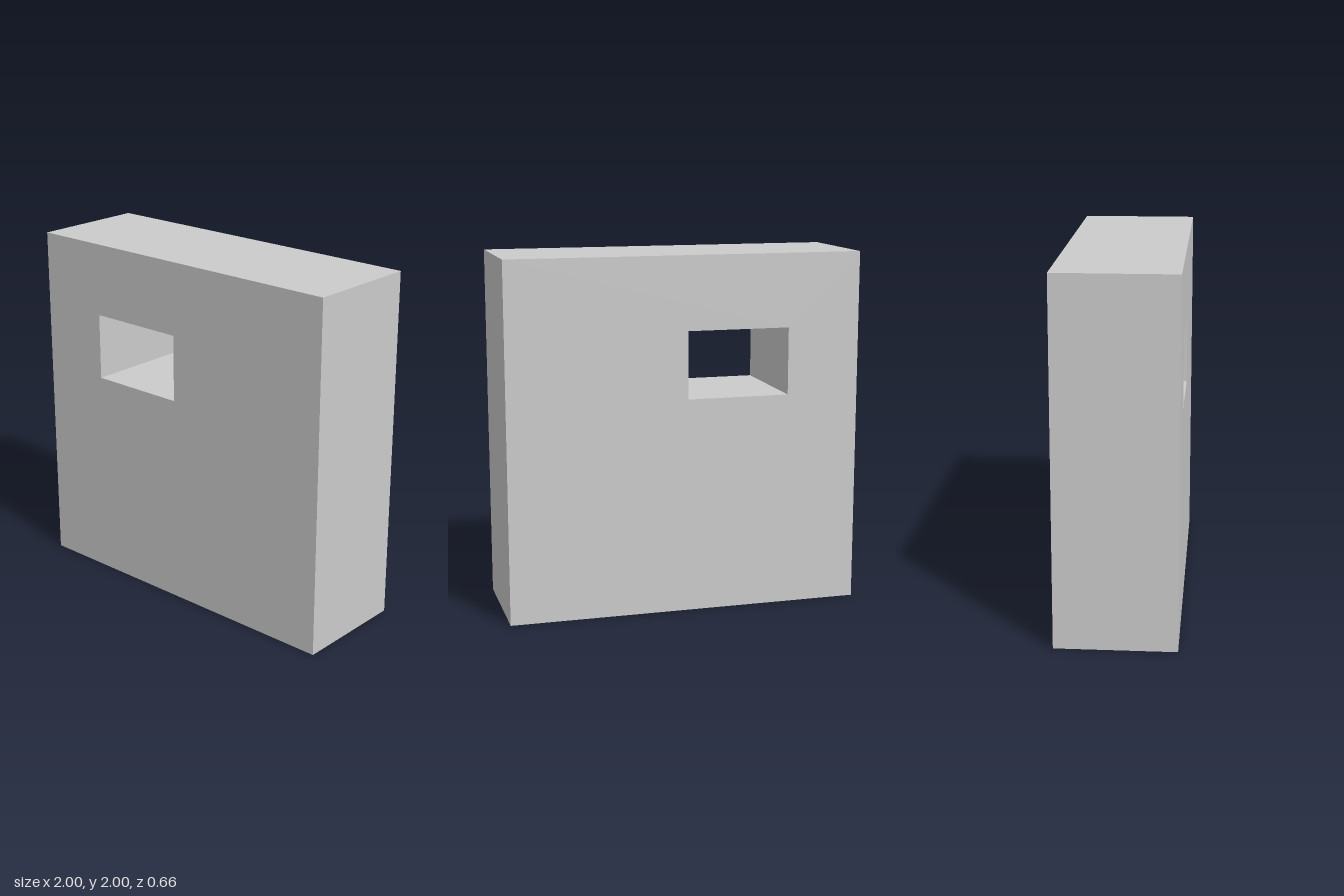
import * as THREE from 'three';

const DEPTH = 0.66;

// Adds a closed rectangle to a shape or hole path
function rectangle(path, x0, y0, x1, y1) {
  path.moveTo(x0, y0);
  path.lineTo(x1, y0);
  path.lineTo(x1, y1);
  path.lineTo(x0, y1);
  path.closePath();
  return path;
}

export function createModel() {
  const group = new THREE.Group();
  group.name = 'wallWithWindow';

  // Thick wall slab with a rectangular opening cut right through
  const outline = rectangle(new THREE.Shape(), -1, 0, 1, 2);
  outline.holes.push(rectangle(new THREE.Path(), -0.587, 1.21, -0.01, 1.588));

  const geometry = new THREE.ExtrudeGeometry(outline, { depth: DEPTH, bevelEnabled: false });
  geometry.translate(0, 0, -DEPTH / 2);

  const wall = new THREE.Mesh(
    geometry,
    new THREE.MeshStandardMaterial({ color: 0xcccccc, flatShading: true })
  );
  wall.name = 'wall';
  group.add(wall);

  return group;
}
